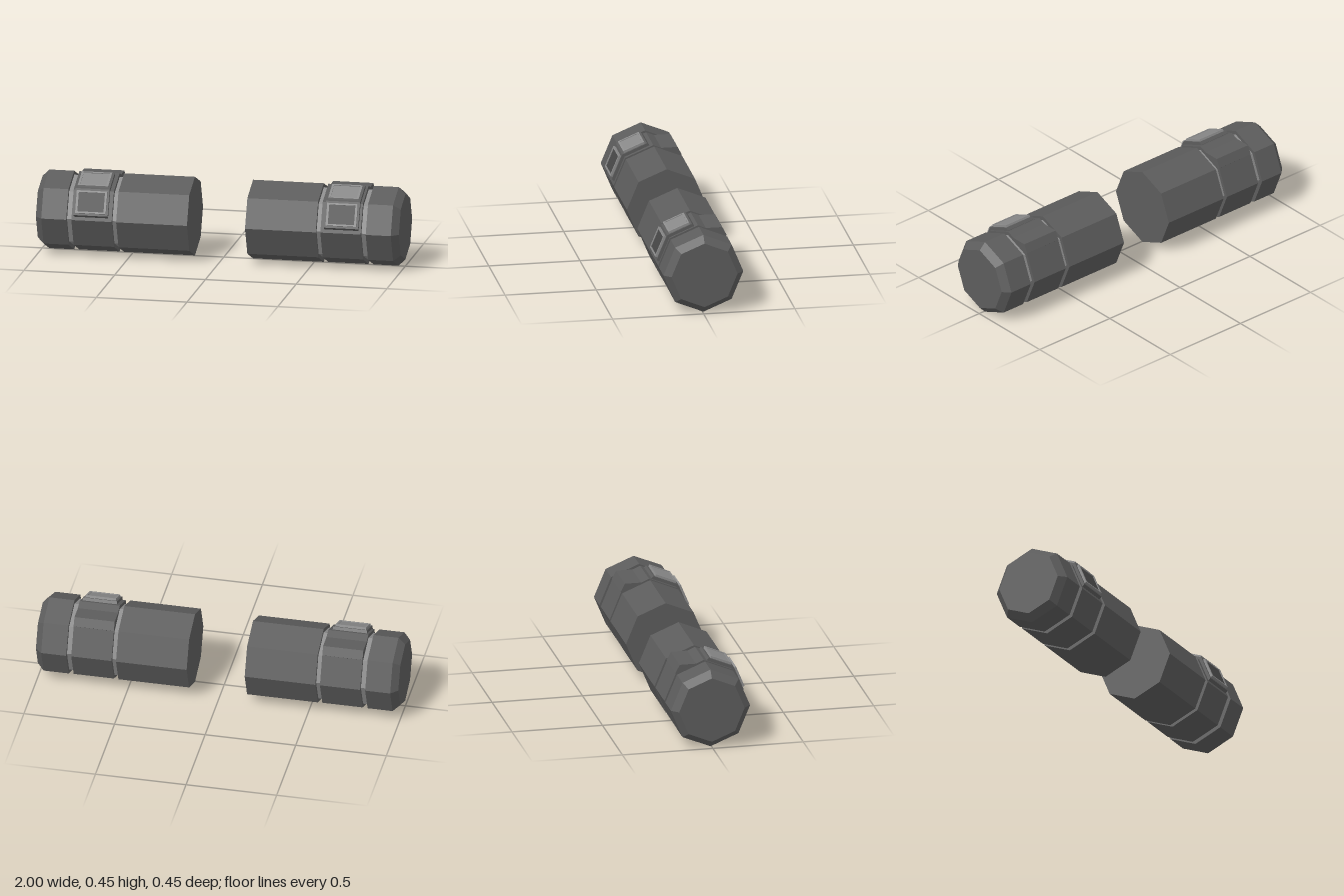
import * as THREE from 'three';

const CY = 0.221, CZ = -0.005, R = 0.219; // axis position and octagon radius
const mat = (color) => new THREE.MeshStandardMaterial({ color, flatShading: true });
const dark = mat(0x5c5c5c), light = mat(0x8c8c8c), glass = mat(0x484848), bright = mat(0x888888);

function add(parent, name, geometry, material) {
  const mesh = new THREE.Mesh(geometry, material);
  mesh.name = name;
  parent.add(mesh);
  return mesh;
}

// Octagonal solid along x from [x, radius] pairs, closed at both ends
function octagon(profile, side) {
  const pts = profile.map(([x, r]) => new THREE.Vector2(r, x * side));
  pts.unshift(new THREE.Vector2(0, pts[0].y));
  pts.push(new THREE.Vector2(0, pts[pts.length - 1].y));
  if (side < 0) pts.reverse();
  return new THREE.LatheGeometry(pts, 8).rotateZ(-Math.PI / 2);
}

// Prism along x, centred on x = 0, from a [z, y] outline
function prism(outline, width) {
  const shape = new THREE.Shape(outline.map(([z, y]) => new THREE.Vector2(-z, y)));
  return new THREE.ExtrudeGeometry(shape, { depth: width, bevelEnabled: false })
    .translate(0, 0, -width / 2).rotateY(Math.PI / 2);
}

function rect(target, w, h) {
  target.moveTo(-w, -h);
  target.lineTo(w, -h);
  target.lineTo(w, h);
  target.lineTo(-w, h);
  target.closePath();
  return target;
}

// Raised rim with an inset panel, facing local +z
function windowPanel(name, panelMaterial) {
  const group = new THREE.Group();
  group.name = name;
  const ring = rect(new THREE.Shape(), 0.084, 0.062);
  ring.holes.push(rect(new THREE.Path(), 0.072, 0.053));
  add(group, 'rim', new THREE.ExtrudeGeometry(ring, { depth: 0.025, bevelEnabled: false })
    .translate(0, 0, 0.205), light);
  add(group, 'panel', new THREE.BoxGeometry(0.146, 0.108, 0.02).translate(0, 0, 0.216), panelMaterial);
  return group;
}

function createCuff(side) {
  const cuff = new THREE.Group();
  cuff.name = side > 0 ? 'leftCuff' : 'rightCuff';
  cuff.position.set(0, CY, CZ);

  // Long sleeve, band, chamfered end cap and the core showing in the grooves
  add(cuff, 'sleeve', octagon([[0.16, R], [0.55, R]], side), dark);
  add(cuff, 'band', octagon([[0.575, R - 0.001], [0.797, R - 0.001]], side), dark);
  add(cuff, 'endCap', octagon([[0.825, R], [0.963, R], [1, 0.181]], side), dark);
  add(cuff, 'core', octagon([[0.5, 0.197], [0.86, 0.197]], side), light);

  // Flat-topped block on the upper back of the band
  const block = add(cuff, 'backBlock', prism(
    [[-0.02, 0.18], [-0.04, 0.2], [-0.133, 0.2], [-0.157, 0.155], [-0.14, 0.14]], 0.222), dark);
  block.position.x = side * 0.686;

  // Bent mounting plate wrapping the upper front edge
  const mount = add(cuff, 'mountPlate', prism([
    [0.017, 0.205], [0.018, 0.212], [0.03, 0.2235], [0.1665, 0.1665],
    [0.2235, 0.03], [0.212, 0.018], [0.205, 0.017], [0.14, 0.14]], 0.188), dark);
  mount.position.x = side * 0.69;

  // One window on each of the two upper front facets
  const facets = [['frontWindow', 22.5, 0.0155, glass], ['topWindow', 67.5, -0.0155, bright]];
  for (const [name, angle, shift, material] of facets) {
    const pivot = new THREE.Group();
    pivot.name = name + 'Mount';
    pivot.rotation.x = -THREE.MathUtils.degToRad(angle);
    pivot.position.x = side * 0.69;
    const win = windowPanel(name, material);
    win.position.y = shift;
    pivot.add(win);
    cuff.add(pivot);
  }
  return cuff;
}

export function createModel() {
  const model = new THREE.Group();
  model.name = 'pairOfCuffs';
  for (const side of [1, -1]) model.add(createCuff(side));
  return model;
}
